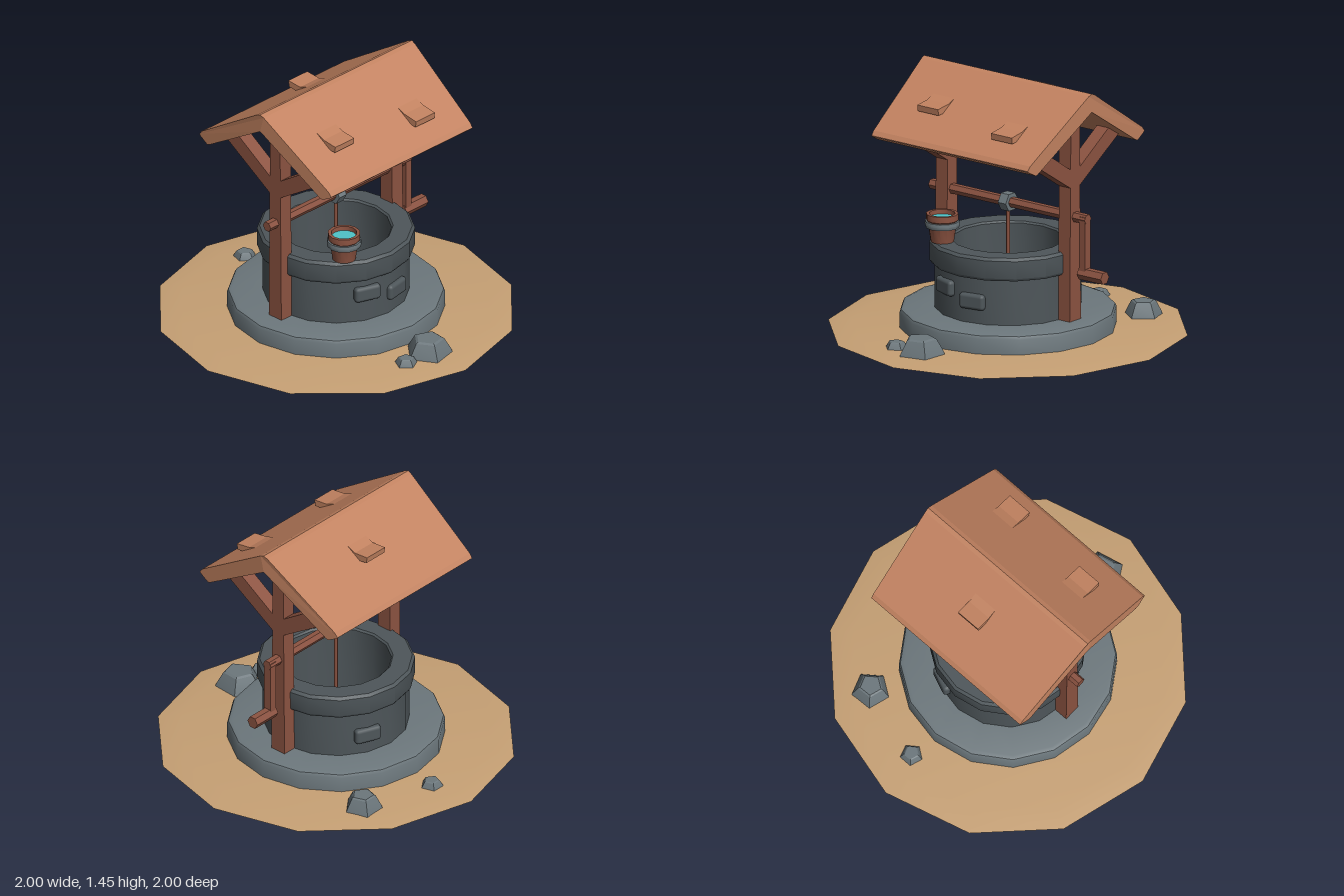
import * as THREE from 'three';
import { toCreasedNormals } from 'three/addons/utils/BufferGeometryUtils.js';
import { RoundedBoxGeometry } from 'three/addons/geometries/RoundedBoxGeometry.js';

const mat = (color) => new THREE.MeshStandardMaterial({ color });
const WOOD = mat(0x8c5341), ROOF = mat(0xc28260), DARK = mat(0x4e565a);
const STONE = mat(0x6c777c), WATER = mat(0x4fc3c8);
const EARTH = mat(0xc6a074);
EARTH.side = THREE.DoubleSide;

export function createModel() {
  const model = new THREE.Group();

  const add = (name, geometry, material, x = 0, y = 0, z = 0) => {
    const mesh = new THREE.Mesh(geometry, material);
    mesh.name = name;
    mesh.position.set(x, y, z);
    model.add(mesh);
    return mesh;
  };

  // Turned solid from [radius, height] pairs, listed up the outside
  const turned = (points, sides, crease = 0.6) => toCreasedNormals(
    new THREE.LatheGeometry(points.map(([r, y]) => new THREE.Vector2(r, y)), sides), crease);

  // Side profile of [z, y] pairs, extruded across x and centred
  const across = (points, width) => {
    const shape = new THREE.Shape(points.map(([z, y]) => new THREE.Vector2(z, y)));
    const g = new THREE.ExtrudeGeometry(shape, { depth: width, bevelEnabled: false });
    return g.translate(0, 0, -width / 2).rotateY(-Math.PI / 2);
  };

  // Rod along x
  const rod = (radius, length, sides) =>
    new THREE.CylinderGeometry(radius, radius, length, sides).rotateZ(Math.PI / 2).toNonIndexed();

  // Ground and stonework
  add('ground', turned([[1, 0], [0.87, 0.018], [0, 0.02]], 12), EARTH);
  add('base', turned([[0.6, 0], [0.6, 0.105], [0.592, 0.122], [0.57, 0.13], [0.35, 0.13]], 16), STONE);
  add('wellWall', turned([
    [0.405, 0], [0.405, 0.385], [0.425, 0.39], [0.435, 0.405], [0.435, 0.505], [0.42, 0.52],
    [0.315, 0.52], [0.305, 0.51], [0.305, 0.02]], 16), DARK);

  // Raised stones set into the wall: x, y, front or back
  for (const [x, y, side] of [[-0.135, 0.3, 1], [0.068, 0.255, 1], [0.15, 0.245, -1]]) {
    const z = side * Math.sqrt(0.395 ** 2 - x * x);
    const stone = add('wallStone', new RoundedBoxGeometry(0.155, 0.09, 0.06, 2, 0.02), DARK, x, y, z);
    stone.rotation.y = Math.atan2(x, z);
  }

  // Posts narrow slightly toward the top; braces rise to the roof on both sides
  for (const side of [-1, 1]) {
    const post = new THREE.BoxGeometry(0.082, 1.36, 0.1).translate(0, 0.68, 0);
    const p = post.attributes.position;
    for (let i = 0; i < p.count; i++) if (p.getY(i) > 0.5) p.setZ(i, p.getZ(i) * 0.75);
    post.computeVertexNormals();
    add('post', post, WOOD, side * 0.435);
    for (const s of [-1, 1]) {
      const profile = [[0, 0.87], [0.39, 1.12], [0.31, 1.18], [0, 0.975]];
      add('brace', across(profile.map(([z, y]) => [s * z, y]), 0.081), WOOD, side * 0.435);
    }
  }

  // Roof: one bent slab, shorter at the eaves than at the ridge
  const half = [[0.025, 1.44], [0.49, 1.14], [0.51, 1.115], [0.5, 1.105], [0.445, 1.076], [0.43, 1.08]];
  const roof = across([[0, 1.45], ...half, [0, 1.345], ...half.map(([z, y]) => [-z, y]).reverse()], 1.186);
  const rp = roof.attributes.position;
  for (let i = 0; i < rp.count; i++) rp.setX(i, rp.getX(i) * (1 - 0.135 * Math.abs(rp.getZ(i))));
  roof.computeVertexNormals();
  add('roof', roof, ROOF);

  // Curled shingles: x, outer z, outer height, slope
  for (const [x, z, y, side] of [[-0.285, 0.35, 1.29, 1], [0.285, 0.41, 1.248, 1], [0.015, 0.31, 1.333, -1]]) {
    const z0 = z - 0.17, r = 1.45 - 0.647 * z0;
    const profile = [[z0, r], [z0 + 0.08, r - 0.033], [z, y], [z - 0.005, y - 0.036],
      [z0 + 0.08, r - 0.072], [z0, r - 0.035]];
    add('shingle', across(profile.map(([a, b]) => [side * a, b]), 0.147), ROOF, x);
  }

  // Winding gear
  const flat = (g) => { g.computeVertexNormals(); return g; };
  add('axle', flat(rod(0.03, 1.105, 6)), WOOD, 0.0125, 0.725);
  add('spool', flat(rod(0.055, 0.056, 6)), STONE, 0, 0.725);
  add('rope', new THREE.CylinderGeometry(0.011, 0.011, 0.5, 6), WOOD, 0, 0.45);
  add('crankArm', new THREE.BoxGeometry(0.042, 0.34, 0.05), WOOD, 0.542, 0.57);
  add('crankHandle', flat(rod(0.037, 0.17, 6)), WOOD, 0.6, 0.41);

  // Bucket on the rim
  const [bx, by, bz] = [-0.23, 0.52, 0.29];
  add('bucket', turned([[0, 0], [0.065, 0], [0.082, 0.115], [0.09, 0.125], [0.09, 0.16],
    [0.072, 0.16], [0.068, 0.1]], 12), WOOD, bx, by, bz);
  add('bucketBand', turned([[0.075, 0.083], [0.093, 0.083], [0.098, 0.1], [0.095, 0.118],
    [0.08, 0.118]], 12), STONE, bx, by, bz);
  add('bucketWater', new THREE.CircleGeometry(0.072, 12).rotateX(-Math.PI / 2), WATER, bx, by + 0.135, bz);

  // Loose rocks: x, z, radius, height, turn
  for (const [x, z, r, h, turn] of [
    [-0.02, 0.735, 0.137, 0.11, -0.4], [-0.195, 0.735, 0.07, 0.055, -0.15],
    [0.46, -0.615, 0.112, 0.1, 0.03], [0.04, -0.745, 0.07, 0.055, 0]]) {
    const rock = add('rock', turned([[r, 0], [r * 0.93, h * 0.3], [r * 0.64, h * 0.93],
      [r * 0.54, h], [0, h]], 5, 0.3), STONE, x, 0, z);
    rock.rotation.y = turn;
  }

  return model;
}
